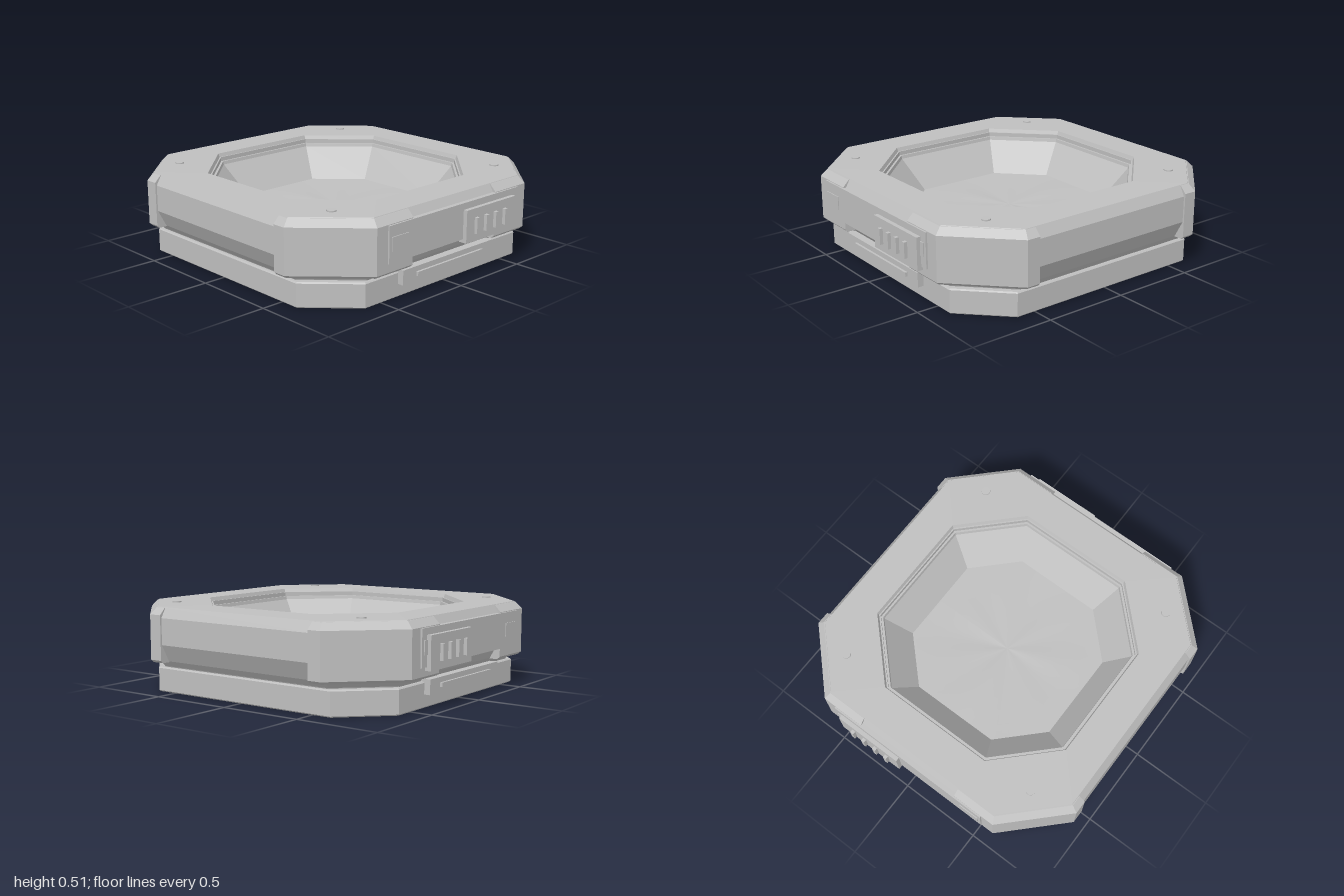
import * as THREE from 'three';

const shell = new THREE.MeshStandardMaterial({ color: 0xbfbfbf });
shell.name = 'light grey shell';

// Skin a list of rings (arrays of Vector3) with flat faces, optionally capped.
function loft(rings, capped) {
  const pos = [];
  const tri = (a, b, c) => [a, b, c].forEach(p => pos.push(p.x, p.y, p.z));
  for (let k = 0; k < rings.length - 1; k++) {
    const lo = rings[k], hi = rings[k + 1], n = lo.length;
    for (let i = 0; i < n; i++) {
      const j = (i + 1) % n;
      tri(lo[i], hi[i], hi[j]);
      tri(lo[i], hi[j], lo[j]);
    }
  }
  if (capped) {
    const lo = rings[0], hi = rings[rings.length - 1];
    for (let i = 1; i < lo.length - 1; i++) {
      tri(lo[0], lo[i], lo[i + 1]);
      tri(hi[0], hi[i + 1], hi[i]);
    }
  }
  const g = new THREE.BufferGeometry();
  g.setAttribute('position', new THREE.Float32BufferAttribute(pos, 3));
  g.computeVertexNormals();
  return g;
}

// Octagon ring: h = half width, f = half length of the straight sides.
function octagon([h, f, y]) {
  return [[h, -f], [h, f], [f, h], [-f, h], [-h, f], [-h, -f], [-f, -h], [f, -h]]
    .map(([x, z]) => new THREE.Vector3(x, y, z));
}

function add(parent, name, geometry) {
  const m = new THREE.Mesh(geometry, shell);
  m.name = name;
  parent.add(m);
  return m;
}

// Box given by its limits on each axis.
function box(parent, name, x0, x1, y0, y1, z0, z1) {
  const m = add(parent, name, new THREE.BoxGeometry(x1 - x0, y1 - y0, z1 - z0));
  m.position.set((x0 + x1) / 2, (y0 + y1) / 2, (z0 + z1) / 2);
}

// Front or back fittings; s is the sign of z.
function sidePanel(s) {
  const g = new THREE.Group();
  g.name = s > 0 ? 'frontPanel' : 'backPanel';
  const plate = (name, x0, x1, y0, y1, z0, z1) =>
    box(g, name, x0, x1, y0, y1, Math.min(s * z0, s * z1), Math.max(s * z0, s * z1));
  plate('panelPlate', -0.53, 0.53, 0.245, 0.453, 0.88, 0.955);
  plate('leftInset', 0.4, 0.512, 0.31, 0.39, 0.95, 0.96);
  plate('rightInset', -0.512, -0.385, 0.31, 0.39, 0.95, 0.96);
  plate('ventBox', 0.055, 0.482, 0.225, 0.415, 0.93, 0.98);
  for (let i = 0; i < 4; i++) {
    const x = 0.133 + i * 0.082;
    plate('ventSlat', x - 0.011, x + 0.011, 0.27, 0.363, 0.97, 1);
  }
  plate('lowerPlate', -0.375, 0.375, 0.075, 0.16, 0.85, 0.912);
  plate('lowerBar', -0.272, 0.272, 0.105, 0.13, 0.9, 0.926);
  return g;
}

export function createModel() {
  const model = new THREE.Group();
  model.name = 'octagonalBasin';

  // Base slab
  add(model, 'base', loft([
    [0.868, 0.617, 0], [0.875, 0.62, 0.007], [0.875, 0.62, 0.138], [0.868, 0.617, 0.145],
  ].map(octagon), true));

  // Sloped neck, rim and stepped bowl wall in one profile
  add(model, 'rimAndBowl', loft([
    [0.85, 0.59, 0.14], [0.855, 0.59, 0.15], [0.882, 0.6, 0.185], [0.935, 0.606, 0.285],
    [0.935, 0.606, 0.44], [0.9, 0.591, 0.5], [0.69, 0.362, 0.502], [0.682, 0.358, 0.48],
    [0.674, 0.354, 0.48], [0.674, 0.354, 0.455], [0.662, 0.348, 0.455], [0.658, 0.346, 0.435],
    [0.517, 0.272, 0.25], [0.51, 0.268, 0.24],
  ].map(octagon), false));

  // Bowl floor with faint radial ripples, its edge tucked behind the wall
  const floor = new THREE.RingGeometry(0, 1, 48, 6);
  floor.rotateX(-Math.PI / 2);
  const p = floor.attributes.position;
  for (let i = 0; i < p.count; i++) {
    const r = Math.hypot(p.getX(i), p.getZ(i)), t = Math.atan2(p.getZ(i), p.getX(i));
    const c = Math.abs(Math.cos(t)), s = Math.abs(Math.sin(t));
    const edge = Math.min(0.53 / Math.max(c, s), 0.81 / (c + s));
    const ripple = 0.008 * r * (1 - r) * (Math.sin(3 * t) + Math.sin(7 * t + 1));
    p.setXYZ(i, p.getX(i) * edge, 0.245 + 0.007 * r + ripple, p.getZ(i) * edge);
  }
  floor.computeVertexNormals();
  add(model, 'bowlFloor', floor);

  // Corner guards wrapping the rim, and a flat stud above each
  for (const sx of [1, -1]) for (const sz of [1, -1]) {
    const guard = [[0.93, 0.18], [0.945, 0.195], [0.945, 0.457], [0.907, 0.496]].map(([o, y]) => {
      const f = 0.61 - 0.414 * (0.945 - o);
      const ring = [[0.34, o], [f, o], [o, f], [o, 0.53], [0.8, 0.53], [0.34, 0.8]]
        .map(([x, z]) => new THREE.Vector3(sx * x, y, sz * z));
      return sx * sz > 0 ? ring.reverse() : ring;
    });
    add(model, 'cornerGuard', loft(guard, true));
    const stud = add(model, 'stud', new THREE.CylinderGeometry(0.027, 0.027, 0.014, 16));
    stud.position.set(sx * 0.67, 0.501, sz * 0.67);
  }

  model.add(sidePanel(1), sidePanel(-1));
  return model;
}
